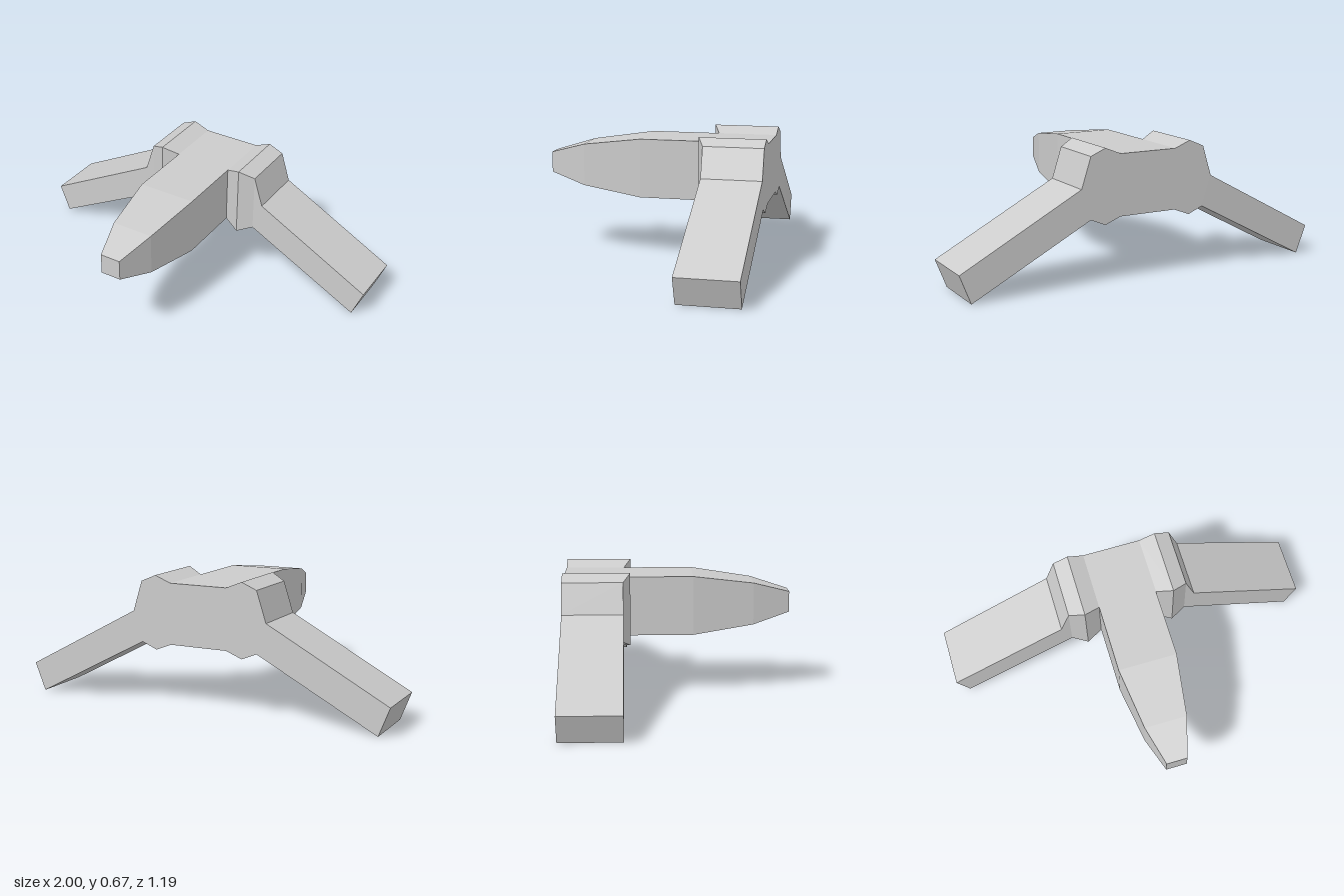
import * as THREE from 'three';

// Skins four-cornered rings, each counterclockwise seen from the far end.
function loft(rings, capStart = true) {
  const pos = [];
  const quad = (a, b, c, d) => pos.push(...a, ...b, ...c, ...a, ...c, ...d);
  for (let i = 0; i < rings.length - 1; i++) {
    const a = rings[i], b = rings[i + 1];
    for (let k = 0; k < 4; k++) {
      const n = (k + 1) % 4;
      quad(a[k], a[n], b[n], b[k]);
    }
  }
  if (capStart) quad(...[...rings[0]].reverse());
  quad(...rings[rings.length - 1]);
  const geometry = new THREE.BufferGeometry();
  geometry.setAttribute('position', new THREE.Float32BufferAttribute(pos, 3));
  geometry.computeVertexNormals();
  return geometry;
}

export function createModel() {
  const group = new THREE.Group();
  const material = new THREE.MeshStandardMaterial({ color: 0xcccccc, flatShading: true });
  const add = (name, geometry) => {
    const mesh = new THREE.Mesh(geometry, material);
    mesh.name = name;
    group.add(mesh);
  };

  // Fuselage: square sections tapering to a blunt nose [z, half width, bottom, top]
  const body = [
    [-0.597, 0.155, 0.33, 0.641],
    [0.08, 0.155, 0.33, 0.641],
    [0.4, 0.112, 0.374, 0.597],
    [0.597, 0.055, 0.43, 0.54],
  ];
  add('fuselage', loft(body.map(([z, w, lo, hi]) =>
    [[-w, lo, z], [w, lo, z], [w, hi, z], [-w, hi, z]])));

  // Ridged shoulder [top x, top y, bottom x, bottom y, front z, back z]
  const shoulder = [
    [0.155, 0.641, 0.155, 0.33, -0.285, -0.597],
    [0.24, 0.675, 0.24, 0.297, -0.25, -0.597],
    [0.32, 0.641, 0.32, 0.33, -0.285, -0.597],
    [0.37, 0.485, 0.32, 0.33, -0.285, -0.597],
  ];
  // Drooping wing, square cut at the tip
  const wing = [
    shoulder[3],
    [1, 0.148, 0.943, 0.003, -0.281, -0.593],
  ];
  const sideRings = (sections, s) => sections.map(([tx, ty, bx, by, f, b]) => {
    const ring = [[s * tx, ty, b], [s * tx, ty, f], [s * bx, by, f], [s * bx, by, b]];
    return s > 0 ? ring : ring.reverse();
  });
  for (const [side, s] of [['left', 1], ['right', -1]]) {
    add(side + 'Shoulder', loft(sideRings(shoulder, s), false));
    add(side + 'Wing', loft(sideRings(wing, s), false));
  }
  return group;
}
